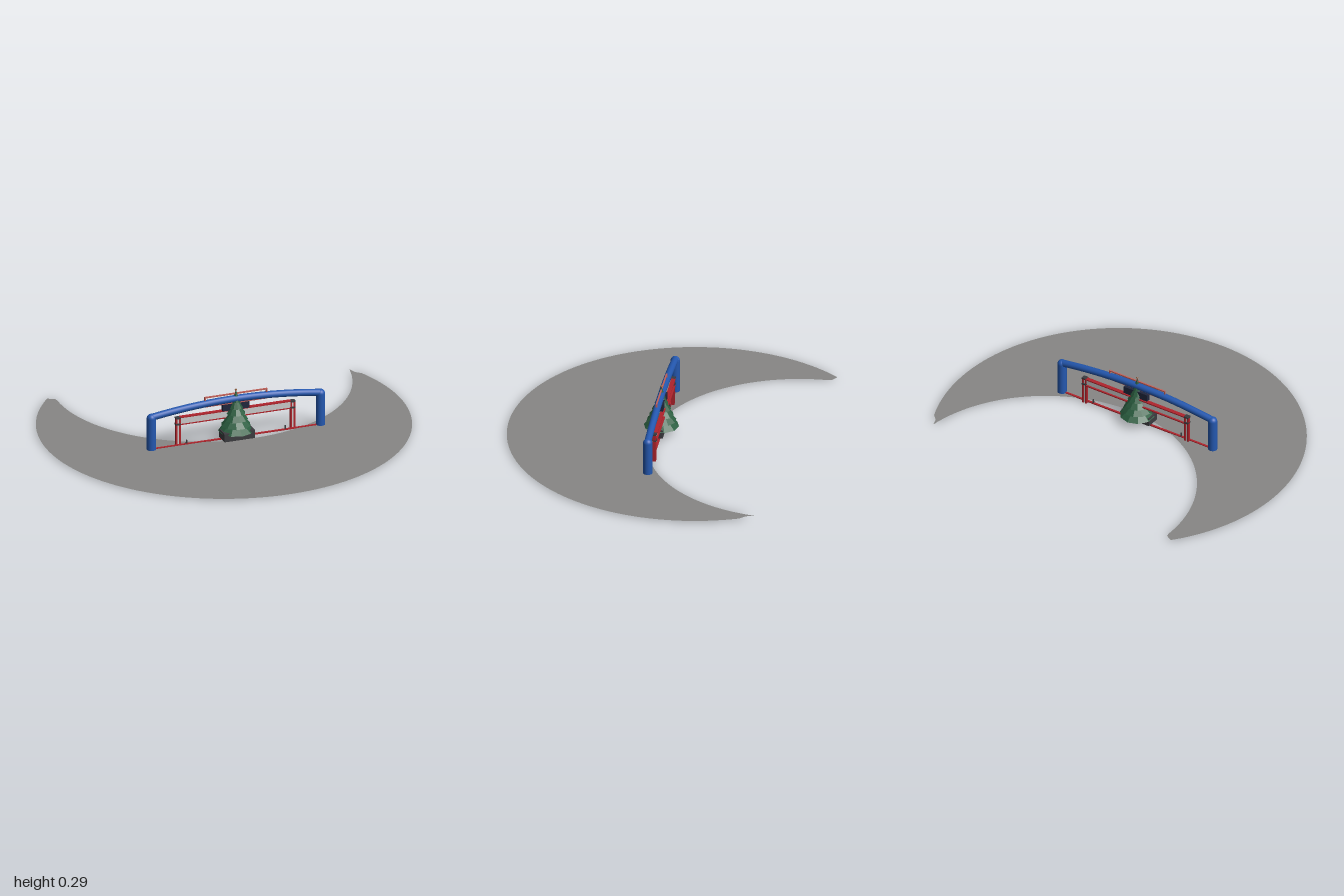
import * as THREE from 'three';

const mat = (color, extra = {}) => new THREE.MeshStandardMaterial({ color, ...extra });

export function createModel() {
  const model = new THREE.Group();
  const blue = mat(0x2458b0);
  const red = mat(0xb0242c);
  const salmon = mat(0xc4625a);
  const grey = mat(0xcccccc);
  const dark = mat(0x3c3c40);
  const navy = mat(0x20263c);
  const green = mat(0x2b5e40, { flatShading: true, side: THREE.DoubleSide });

  const add = (name, geometry, material, x = 0, y = 0, z = 0, parent = model) => {
    const mesh = new THREE.Mesh(geometry, material);
    mesh.name = name;
    mesh.position.set(x, y, z);
    parent.add(mesh);
    return mesh;
  };
  const box = (name, w, h, d, material, x, y, z, parent) =>
    add(name, new THREE.BoxGeometry(w, h, d), material, x, y, z, parent);

  // Crescent ground sheet: outer arc, notched tips, inner arc (shape y = -z)
  const points = [];
  const arc = (cx, cy, r, from, to, steps) => {
    for (let i = 0; i <= steps; i++) {
      const a = from + ((to - from) * i) / steps;
      points.push(new THREE.Vector2(cx + r * Math.cos(a), cy + r * Math.sin(a)));
    }
  };
  arc(0, 0.18, 1, Math.PI - 0.675, 2 * Math.PI + 0.39, 96);
  points.push(new THREE.Vector2(0.895, 0.59), new THREE.Vector2(0.873, 0.655));
  arc(0.085, 0.755, 0.805, -0.15, -Math.PI - 0.03, 64);
  points.push(new THREE.Vector2(-0.722, 0.805), new THREE.Vector2(-0.76, 0.828));
  const sheet = new THREE.ShapeGeometry(new THREE.Shape(points));
  sheet.rotateX(-Math.PI / 2);
  add('ground', sheet, mat(0x888785, { side: THREE.DoubleSide }), 0, 0.006, 0);

  // Blue arch: two legs with rounded shoulders and a bowed beam
  const arch = new THREE.Group();
  arch.name = 'arch';
  model.add(arch);
  const bow = new THREE.QuadraticBezierCurve3(
    new THREE.Vector3(-0.48, 0.19, 0), new THREE.Vector3(0, 0.266, 0), new THREE.Vector3(0.48, 0.19, 0));
  add('archBeam', new THREE.TubeGeometry(bow, 40, 0.019, 16), blue, 0, 0, 0, arch);
  for (const s of [-1, 1]) {
    add('archLeg', new THREE.CylinderGeometry(0.025, 0.025, 0.185, 20), blue, s * 0.48, 0.0925, 0, arch);
    add('archShoulder', new THREE.SphereGeometry(0.025, 20, 14), blue, s * 0.48, 0.185, 0, arch);
  }

  // Rail along the ground between the legs
  box('groundRail', 0.92, 0.006, 0.012, red, 0, 0.007, 0);

  // Inner gate: paired red rods with grey cores, and a framed crossbeam
  const gate = new THREE.Group();
  gate.name = 'gate';
  gate.position.z = -0.012;
  model.add(gate);
  for (const s of [-1, 1]) {
    box('postCore', 0.01, 0.15, 0.012, grey, s * 0.325, 0.08, 0, gate);
    for (const dx of [-0.009, 0.009])
      box('postRod', 0.009, 0.16, 0.018, red, s * 0.325 + dx, 0.083, 0, gate);
    for (const y of [0.125, 0.16])
      box('postBracket', 0.028, 0.008, 0.026, dark, s * 0.325, y, 0, gate);
    // Small ground lamps
    add('lamp', new THREE.CylinderGeometry(0.004, 0.005, 0.026, 8), dark, s * 0.28, 0.018, 0.012, gate);
  }
  box('crossbeamPanel', 0.63, 0.036, 0.01, grey, 0, 0.141, 0, gate);
  for (const y of [0.121, 0.161])
    box('crossbeamEdge', 0.63, 0.006, 0.022, red, 0, y, -0.004, gate);

  // Dark block above the crossbeam
  box('topBlock', 0.15, 0.04, 0.024, navy, 0, 0.185, -0.008);

  // Open sign frame around the middle of the beam
  const sign = new THREE.Group();
  sign.name = 'signFrame';
  model.add(sign);
  for (const y of [0.206, 0.258])
    box('signBar', 0.356, 0.007, 0.008, salmon, 0, y, 0, sign);
  for (const s of [-1, 1])
    box('signSide', 0.007, 0.058, 0.008, salmon, s * 0.1745, 0.232, 0, sign);

  // Tree: tiered cones, trunk, tip ornament
  const tree = new THREE.Group();
  tree.name = 'tree';
  model.add(tree);
  const tiers = 6;
  for (let i = 0; i < tiers; i++) {
    const r = 0.095 - i * 0.0145;
    const h = 0.075 - i * 0.003;
    add('treeTier', new THREE.CylinderGeometry(r * 0.12, r, h, 10), green,
      0, 0.045 + i * 0.033 + h / 2, 0, tree).rotation.y = i * 0.3;
  }
  add('trunk', new THREE.CylinderGeometry(0.014, 0.016, 0.05, 8), mat(0x5a3c28), 0, 0.03, 0, tree);
  add('treeTip', new THREE.CylinderGeometry(0.002, 0.003, 0.02, 6), red, 0, 0.273, 0, tree);
  add('treeStar', new THREE.OctahedronGeometry(0.008), mat(0x8a5a38), 0, 0.278, 0, tree);

  // Low box at the foot of the tree
  box('baseBox', 0.174, 0.046, 0.08, dark, 0, 0.033, 0.02);

  return model;
}
